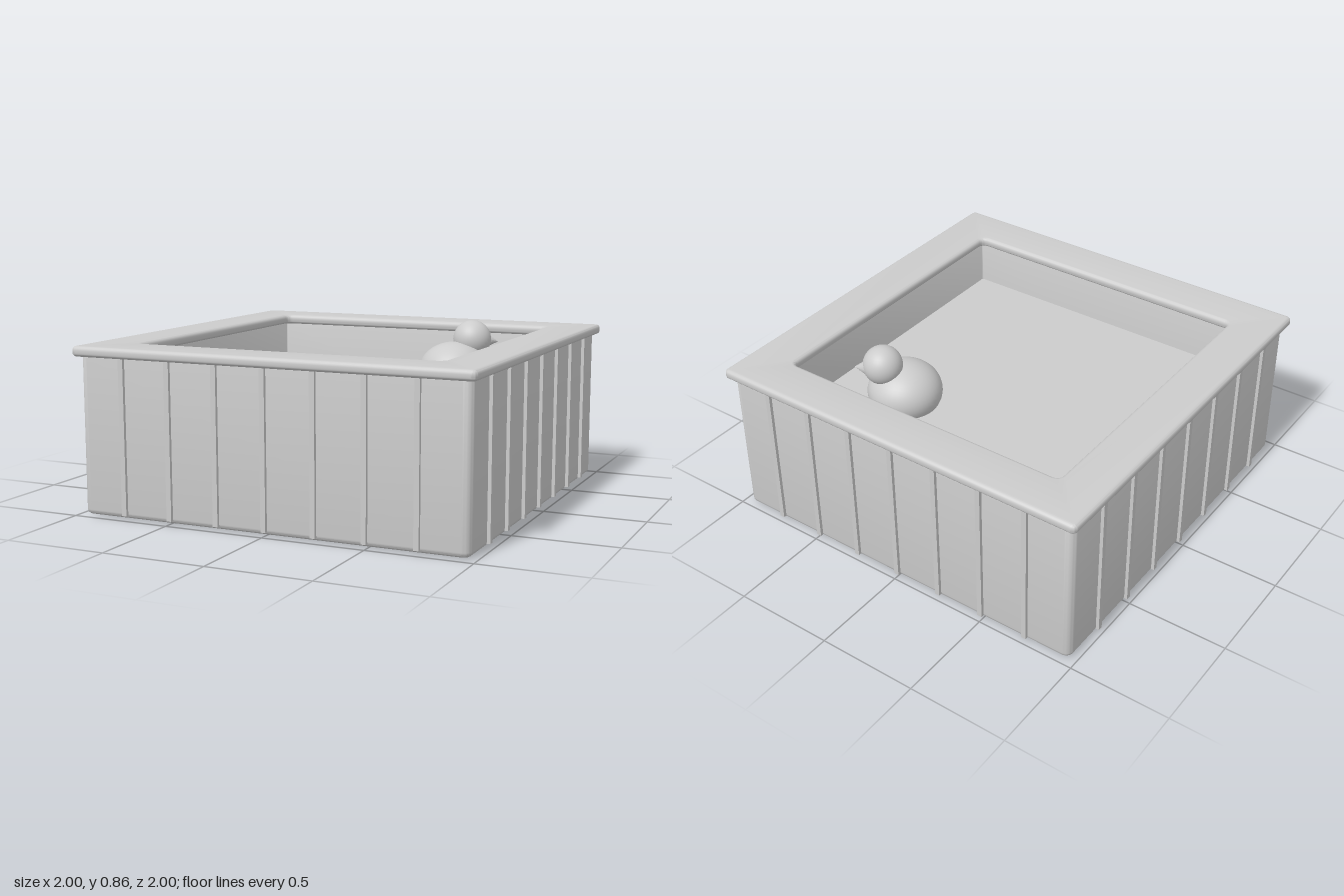
import * as THREE from 'three';
import { toCreasedNormals } from 'three/addons/utils/BufferGeometryUtils.js';

const grey = new THREE.MeshStandardMaterial({ color: 0xcccccc });
grey.name = 'grey';

function add(parent, name, geometry, x = 0, y = 0, z = 0) {
  const mesh = new THREE.Mesh(geometry, grey);
  mesh.name = name;
  mesh.position.set(x, y, z);
  parent.add(mesh);
  return mesh;
}

// Square outline with rounded corners
function roundedSquare(path, half, r) {
  const c = half - r;
  path.absarc(c, c, r, 0, Math.PI / 2);
  path.absarc(-c, c, r, Math.PI / 2, Math.PI);
  path.absarc(-c, -c, r, Math.PI, Math.PI * 1.5);
  path.absarc(c, -c, r, Math.PI * 1.5, Math.PI * 2);
  path.closePath();
  return path;
}

// Upright square ring with rounded edges, standing on y = 0
function squareRing(outer, inner, cornerRadius, innerRadius, height, bevel) {
  const shape = roundedSquare(new THREE.Shape(), outer, cornerRadius);
  shape.holes.push(roundedSquare(new THREE.Path(), inner, innerRadius));
  const geometry = new THREE.ExtrudeGeometry(shape, {
    depth: height - 2 * bevel, bevelThickness: bevel, bevelSize: bevel,
    bevelOffset: -bevel, bevelSegments: 5, curveSegments: 6,
  });
  geometry.translate(0, 0, bevel).rotateX(-Math.PI / 2);
  return toCreasedNormals(geometry, 0.6);
}

export function createModel() {
  const tub = new THREE.Group();
  tub.name = 'hotTub';

  // Cabinet walls, underside plate and water
  add(tub, 'cabinet', squareRing(0.97, 0.785, 0.04, 0.01, 0.775, 0.025), 0, 0.005, 0);
  add(tub, 'basePlate', new THREE.BoxGeometry(1.71, 0.04, 1.71), 0, 0.02, 0);
  add(tub, 'water', new THREE.BoxGeometry(1.6, 0.02, 1.6), 0, 0.525, 0);

  // Bullnosed top rim
  add(tub, 'rim', squareRing(1, 0.765, 0.026, 0.03, 0.05, 0.02), 0, 0.76, 0);

  // Vertical battens on the four sides
  const batten = new THREE.BoxGeometry(0.025, 0.745, 0.035);
  for (let side = 0; side < 4; side++) {
    const panel = new THREE.Group();
    panel.name = 'sideBattens';
    panel.rotation.y = side * Math.PI / 2;
    for (let i = -3; i <= 3; i++) add(panel, 'batten', batten, i * 0.245, 0.3925, 0.9685);
    tub.add(panel);
  }

  // Floating toy duck facing the back left corner
  const duck = new THREE.Group();
  duck.name = 'duck';
  const body = add(duck, 'duckBody', new THREE.SphereGeometry(0.185, 40, 24), 0.388, 0.6, -0.397);
  body.scale.y = 0.81;
  add(duck, 'duckHead', new THREE.SphereGeometry(0.098, 32, 20), 0.457, 0.76, -0.472);
  const beak = add(duck, 'duckBeak', new THREE.ConeGeometry(0.045, 0.075, 12), 0.54, 0.748, -0.533);
  beak.quaternion.setFromUnitVectors(
    new THREE.Vector3(0, 1, 0), new THREE.Vector3(0.9, -0.1, -0.35).normalize());
  tub.add(duck);

  return tub;
}
